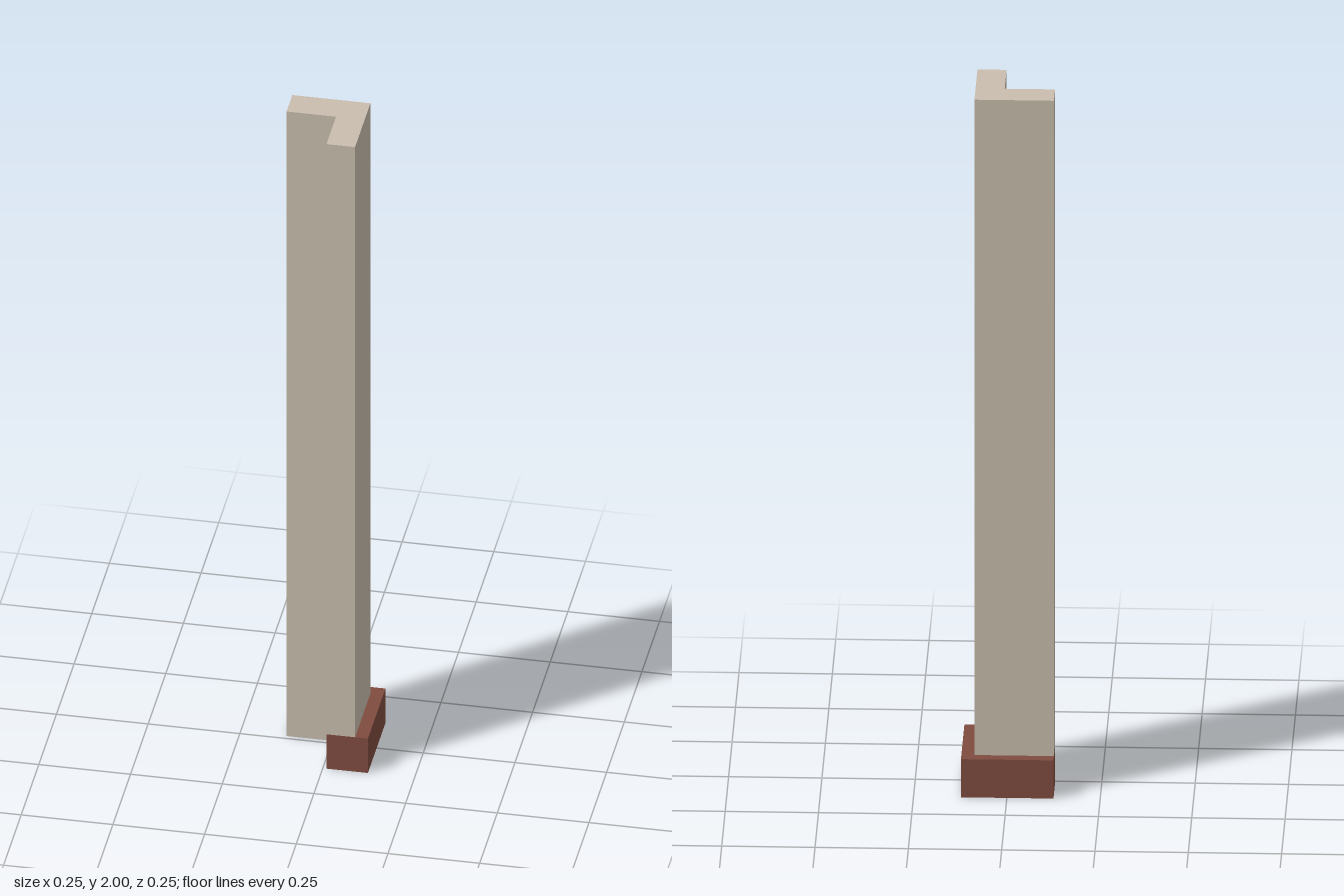
import * as THREE from 'three';

// Inner corner and free ends shared by the wall and its skirting
const END_X = -0.125, END_Z = 0.124, INNER_X = 0.01, INNER_Z = -0.012;
const BASE_H = 0.11, HEIGHT = 2;

// L-shaped plan with its outer corner at (outX, outZ), extruded upwards
function cornerBlock(outX, outZ, y0, y1) {
  const plan = [
    [END_X, outZ], [END_X, INNER_Z], [INNER_X, INNER_Z],
    [INNER_X, END_Z], [outX, END_Z], [outX, outZ],
  ].map(([x, z]) => new THREE.Vector2(x, -z));
  const g = new THREE.ExtrudeGeometry(new THREE.Shape(plan), { depth: y1 - y0, bevelEnabled: false });
  return g.rotateX(-Math.PI / 2).translate(0, y0, 0);
}

// Triangles on the underside and the two inner faces use material 0, the rest material 1
function paintBase(g) {
  const p = g.attributes.position, n = g.attributes.normal;
  g.clearGroups();
  for (let i = 0; i < p.count; i += 3) {
    const underside = n.getY(i) < -0.5;
    const innerX = n.getX(i) < -0.5 && Math.abs(p.getX(i) - INNER_X) < 0.001;
    const innerZ = n.getZ(i) > 0.5 && Math.abs(p.getZ(i) - INNER_Z) < 0.001;
    g.addGroup(i, 3, underside || innerX || innerZ ? 0 : 1);
  }
  return g;
}

export function createModel() {
  const plaster = new THREE.MeshStandardMaterial({ color: 0xc9bdae });
  plaster.name = 'beige plaster';
  const brick = new THREE.MeshStandardMaterial({ color: 0x804c40 });
  brick.name = 'red brown plinth';

  const group = new THREE.Group();
  group.name = 'cornerWall';

  // Tall corner wall
  const wall = new THREE.Mesh(cornerBlock(0.088, -0.094, BASE_H, HEIGHT), plaster);
  wall.name = 'wall';

  // Projecting plinth, plain on the inside and underneath
  const plinth = new THREE.Mesh(paintBase(cornerBlock(0.123, -0.125, 0, BASE_H)), [plaster, brick]);
  plinth.name = 'plinth';

  group.add(wall, plinth);
  return group;
}
